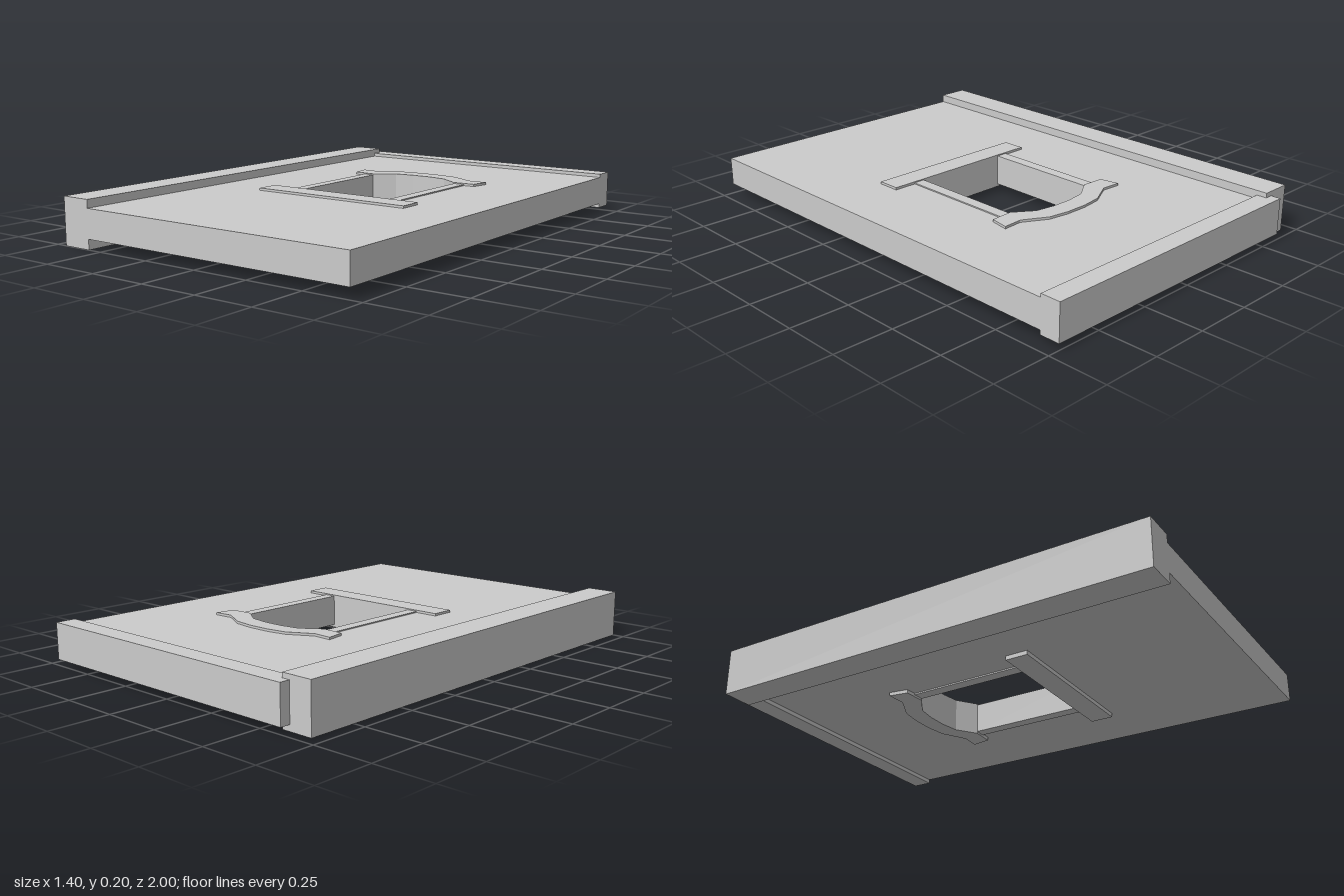
import * as THREE from 'three';

const material = new THREE.MeshStandardMaterial({ color: 0xcccccc, flatShading: true });

// Panel-plane outline given as [x, z] points
const outline = (points, Type = THREE.Shape) =>
  new Type(points.map(([x, z]) => new THREE.Vector2(x, -z)));

// Lay an extruded outline flat between two heights
function plate(name, shape, y0, y1) {
  const geometry = new THREE.ExtrudeGeometry(shape, { depth: y1 - y0, bevelEnabled: false });
  geometry.rotateX(-Math.PI / 2).translate(0, y0, 0);
  const mesh = new THREE.Mesh(geometry, material);
  mesh.name = name;
  return mesh;
}

function box(name, [x0, x1], [y0, y1], [z0, z1]) {
  const mesh = new THREE.Mesh(new THREE.BoxGeometry(x1 - x0, y1 - y0, z1 - z0), material);
  mesh.position.set((x0 + x1) / 2, (y0 + y1) / 2, (z0 + z1) / 2);
  mesh.name = name;
  return mesh;
}

export function createModel() {
  const group = new THREE.Group();
  group.name = 'wallPanel';
  const cx = 0.053; // window centre line

  // Faceted arch: half-width, springing line, crown and corner cut
  const arch = [[-0.217, -0.337], [-0.13, -0.397], [-0.045, -0.41],
    [0.045, -0.41], [0.13, -0.397], [0.217, -0.337]].map(([x, z]) => [x + cx, z]);
  const outerArch = [[-0.245, -0.42], [-0.14, -0.477], [-0.05, -0.49],
    [0.05, -0.49], [0.14, -0.477], [0.245, -0.42]].map(([x, z]) => [x + cx, z]);

  // Wall slab, its opening hidden just behind the surround
  const slab = outline([[-0.58, 1], [0.7, 1], [0.7, -0.93], [-0.58, -0.93]]);
  const rough = arch.map(([x, z]) => [cx + (x - cx) * 1.07, z - 0.02]);
  slab.holes.push(outline([[cx - 0.232, 0.2], ...rough, [cx + 0.232, 0.2]], THREE.Path));
  group.add(plate('wallSlab', slab, 0.043, 0.165));

  // Thick corner post and end trim
  group.add(box('cornerPost', [-0.7, -0.565], [0, 0.2], [-0.957, 1]));
  group.add(box('endTrim', [-0.6, 0.7], [0.025, 0.18], [-1, -0.913]));

  // Window surround
  group.add(box('windowSill', [-0.315, 0.42], [0.025, 0.175], [0.18, 0.28]));
  for (const side of [-1, 1]) {
    const xs = [cx + side * 0.217, cx + side * 0.267].sort((a, b) => a - b);
    group.add(box('windowJamb', xs, [0.037, 0.17], [-0.34, 0.18]));
    // Flared foot of the arch
    const foot = [[0.217, -0.337], [0.315, -0.342], [0.33, -0.425], [0.245, -0.42]]
      .map(([x, z]) => [cx + side * x, z]);
    group.add(plate('archFoot', outline(foot), 0.028, 0.175));
  }
  group.add(plate('windowArch', outline([...arch, ...outerArch.reverse()]), 0.028, 0.175));

  return group;
}
